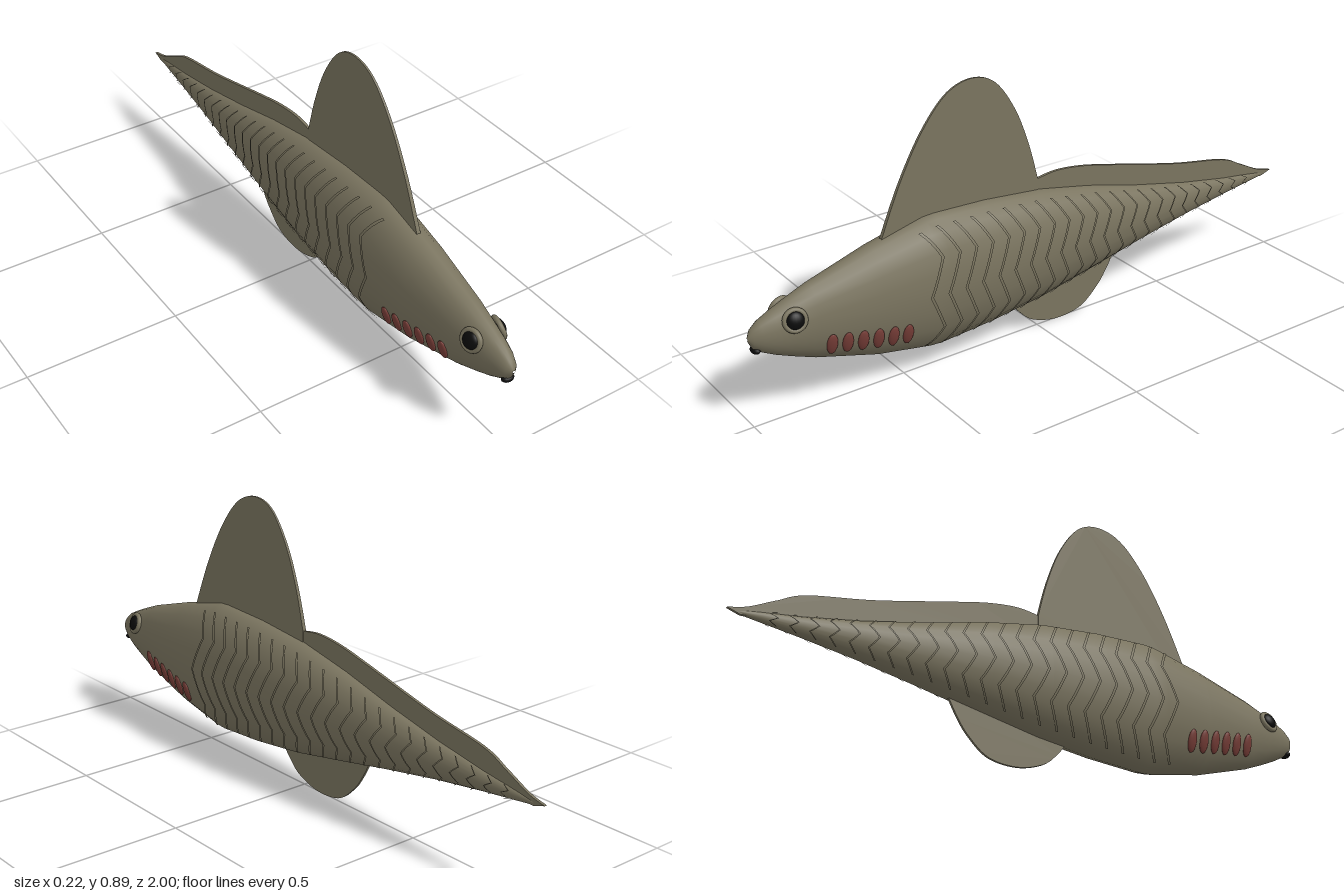
import * as THREE from 'three';

const mat = (name, color, side = THREE.FrontSide) => {
  const m = new THREE.MeshStandardMaterial({ color, side });
  m.name = name;
  return m;
};

// Body stations: z, top y, bottom y, half width
const STATIONS = [
  [0.998, 0.292, 0.284, 0.004], [0.985, 0.318, 0.256, 0.02], [0.96, 0.338, 0.238, 0.031],
  [0.92, 0.357, 0.217, 0.042], [0.87, 0.378, 0.195, 0.051], [0.8, 0.405, 0.167, 0.063],
  [0.6, 0.465, 0.108, 0.088], [0.42, 0.508, 0.075, 0.102], [0.38, 0.51, 0.073, 0.104],
  [0.2, 0.503, 0.086, 0.104], [0, 0.483, 0.111, 0.096], [-0.2, 0.442, 0.15, 0.081],
  [-0.4, 0.39, 0.19, 0.061], [-0.6, 0.345, 0.226, 0.04], [-0.78, 0.313, 0.252, 0.022],
  [-0.9, 0.297, 0.267, 0.011], [-0.97, 0.286, 0.276, 0.004],
];

// Interpolated section at z: centre y, half height, half width
function section(z) {
  let i = 0;
  while (i < STATIONS.length - 2 && z < STATIONS[i + 1][0]) i++;
  const a = STATIONS[i], b = STATIONS[i + 1];
  const t = THREE.MathUtils.clamp((a[0] - z) / (a[0] - b[0]), 0, 1);
  const [top, bottom, w] = [1, 2, 3].map((k) => a[k] + (b[k] - a[k]) * t);
  return { cy: (top + bottom) / 2, h: (top - bottom) / 2, w };
}

function surfaceX(z, y) {
  const { cy, h, w } = section(z);
  return w * Math.sqrt(Math.max(0.02, 1 - ((y - cy) / h) ** 2));
}

// Indexed grid of points, rows by columns
function gridGeometry(rows, closed) {
  const n = rows[0].length, index = [];
  for (let i = 0; i < rows.length - 1; i++) {
    for (let j = 0; j < (closed ? n : n - 1); j++) {
      const k = (j + 1) % n, a = i * n + j, b = i * n + k;
      index.push(a, a + n, b, b, a + n, b + n);
    }
  }
  const g = new THREE.BufferGeometry();
  g.setAttribute('position', new THREE.Float32BufferAttribute(rows.flat(2), 3));
  g.setIndex(index);
  g.computeVertexNormals();
  return g;
}

function bodyGeometry() {
  const sides = 20;
  return gridGeometry(STATIONS.map(([z]) => {
    const { cy, h, w } = section(z);
    return Array.from({ length: sides }, (_, j) => {
      const a = (j / sides) * Math.PI * 2;
      return [Math.cos(a) * w, cy + Math.sin(a) * h, z];
    });
  }), true);
}

// Thin fin in the middle plane: curved edge, then straight root points, as [z, y]
function finGeometry(edge, root, thickness, taper) {
  const pts = edge.map(([z, y]) => new THREE.Vector2(-z, y));
  const shape = new THREE.Shape().moveTo(pts[0].x, pts[0].y);
  shape.splineThru(pts.slice(1));
  root.forEach(([z, y]) => shape.lineTo(-z, y));
  const g = new THREE.ExtrudeGeometry(shape, { depth: thickness, bevelEnabled: false, curveSegments: 40 });
  g.translate(0, 0, -thickness / 2).rotateY(Math.PI / 2);
  const p = g.attributes.position;
  for (let i = 0; i < p.count; i++) p.setX(i, p.getX(i) * (1 - taper * Math.max(0, p.getY(i) - 0.48)));
  g.computeVertexNormals();
  return g;
}

// Zigzag muscle band lying just off the flank
function bandGeometry(z0, side) {
  const steps = 16, span = 1.1, rows = [];
  const scale = 0.4 + 0.6 * section(z0).h / 0.22;
  for (let i = 0; i <= steps; i++) {
    const a = span - (2 * span * i) / steps;
    const zig = Math.abs((i % 8) - 4) / 4;
    const row = [-1, 1].map((e) => {
      const z = z0 + (zig - 0.5) * 0.05 * scale + e * 0.005 * scale;
      const { cy, h, w } = section(z);
      return [side * Math.cos(a) * (w + 0.006), cy + Math.sin(a) * (h + 0.003), z];
    });
    rows.push(side > 0 ? row.reverse() : row);
  }
  return gridGeometry(rows, false);
}

export function createModel() {
  const skin = mat('olive skin', 0x7a745f);
  const bandSkin = mat('olive band', 0x78725d, THREE.DoubleSide);
  const gillRed = mat('gill red', 0x7a3f39);
  const black = mat('black', 0x0b0b0b);

  const model = new THREE.Group();
  model.name = 'fish';
  const add = (name, geometry, material, parent = model) => {
    const m = new THREE.Mesh(geometry, material);
    m.name = name;
    parent.add(m);
    return m;
  };

  add('body', bodyGeometry(), skin);

  // Fins
  add('dorsalFin', finGeometry(
    [[0.56, 0.47], [0.49, 0.63], [0.41, 0.77], [0.325, 0.865], [0.237, 0.895],
      [0.155, 0.867], [0.085, 0.77], [0.035, 0.645], [0, 0.515]],
    [[0, 0.42], [0.53, 0.42]], 0.013, 1.3), skin);
  add('backFin', finGeometry(
    [[0.01, 0.515], [-0.07, 0.525], [-0.17, 0.515], [-0.29, 0.488], [-0.56, 0.422],
      [-0.77, 0.382], [-0.86, 0.342], [-0.94, 0.303], [-1, 0.287]],
    [[-0.96, 0.274], [-0.77, 0.28], [0.01, 0.42]], 0.009, 0), skin);
  add('analFin', finGeometry(
    [[0.1, 0.11], [0.07, 0.072], [0.02, 0.03], [-0.07, 0.004], [-0.17, 0.015],
      [-0.24, 0.07], [-0.28, 0.125], [-0.31, 0.18]],
    [[-0.25, 0.22], [0.05, 0.16]], 0.008, 0), skin);

  const mouth = add('mouth', new THREE.SphereGeometry(1, 16, 10), black);
  mouth.position.set(0, 0.25, 0.976);
  mouth.scale.set(0.021, 0.011, 0.014);

  const ball = new THREE.SphereGeometry(1, 20, 14);
  for (const side of [1, -1]) {
    const label = side > 0 ? 'left' : 'right';
    // Group on the flank whose local z points away from the body
    const mount = (name, z, y) => {
      const g = new THREE.Group(), e = 0.01, x = surfaceX(z, y);
      const dy = (surfaceX(z, y + e) - surfaceX(z, y - e)) / (2 * e);
      const dz = (surfaceX(z + e, y) - surfaceX(z - e, y)) / (2 * e);
      g.name = name;
      g.position.set(side * x, y, z);
      g.lookAt(side * (x + 1), y - dy, z - dz);
      model.add(g);
      return g;
    };

    const eye = mount(label + 'Eye', 0.87, 0.33);
    add('eyeRim', new THREE.TorusGeometry(0.03, 0.008, 10, 28), skin, eye).position.z = 0.004;
    const pupil = add('pupil', ball, black, eye);
    pupil.position.z = 0.006;
    pupil.scale.set(0.027, 0.027, 0.016);

    for (let i = 0; i < 6; i++) {
      const gill = mount(label + 'Gill' + (i + 1), 0.765 - i * 0.048, 0.223 - i * 0.0078);
      add('gillSlit', ball, gillRed, gill).scale.set(0.017, 0.038, 0.008);
    }

    for (let i = 0; i < 23; i++) {
      add(label + 'MuscleBand' + (i + 1), bandGeometry(0.43 - i * 0.059, side), bandSkin);
    }
  }
  return model;
}
